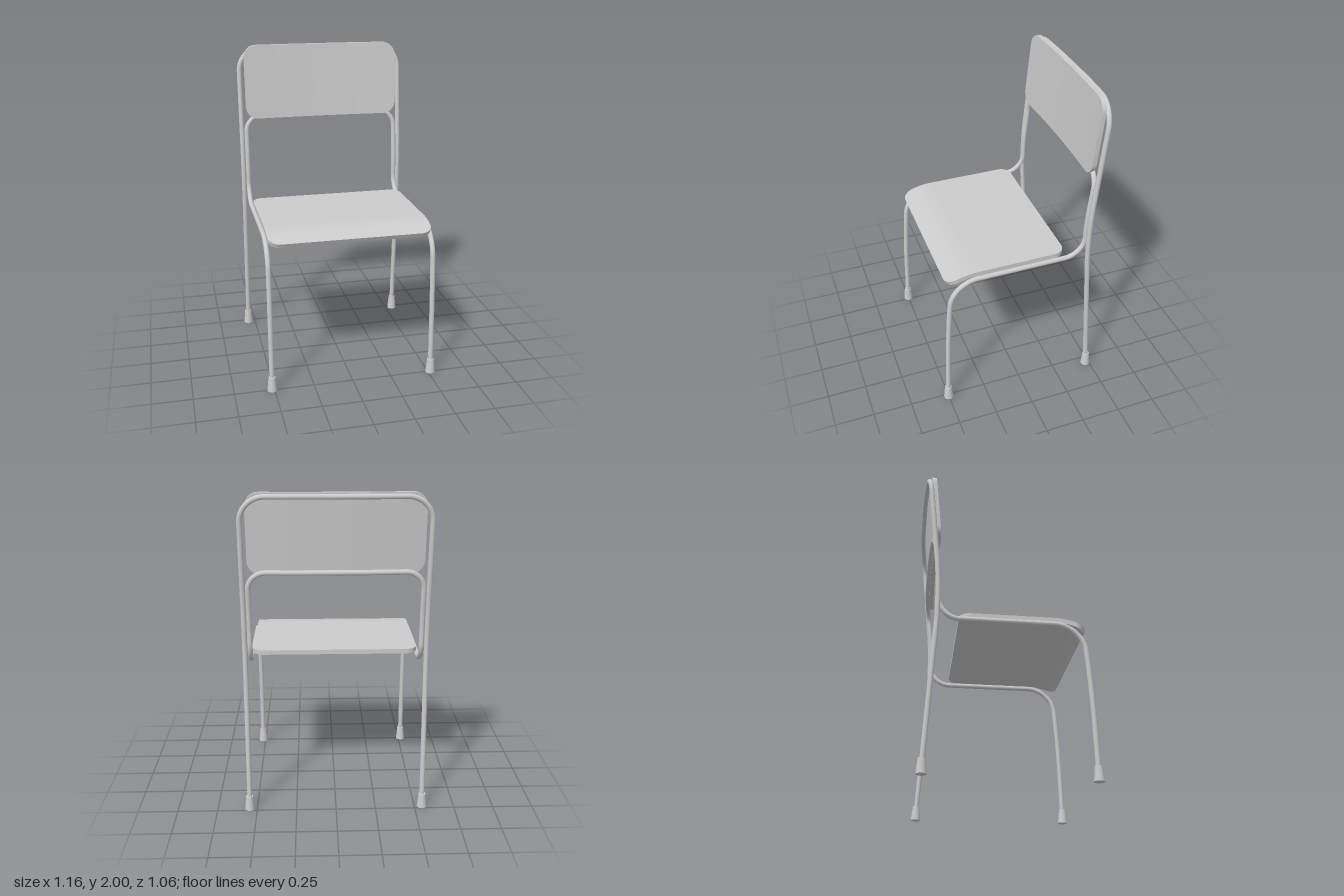
import * as THREE from 'three';
import { toCreasedNormals } from 'three/addons/utils/BufferGeometryUtils.js';

const material = new THREE.MeshStandardMaterial({ color: 0xcccccc, roughness: 0.6 });
const TUBE_RADIUS = 0.0157;

function addMesh(group, name, geometry) {
  const mesh = new THREE.Mesh(geometry, material);
  mesh.name = name;
  group.add(mesh);
  return mesh;
}

// Bent tube: half path of [x, y, z, bendLength], mirrored across x = 0
function bentTube(half) {
  const mirrored = half.map(([x, ...rest]) => [-x, ...rest]).reverse();
  const all = [...half, ...mirrored];
  const points = all.map(([x, y, z]) => new THREE.Vector3(x, y, z));
  const path = new THREE.CurvePath();
  let last = points[0];
  for (let i = 1; i < points.length - 1; i++) {
    const p = points[i], r = all[i][3];
    const toward = (q, d) => p.clone().addScaledVector(q.clone().sub(p).normalize(), d);
    const a = toward(points[i - 1], r), b = toward(points[i + 1], r);
    path.add(new THREE.LineCurve3(last, a));
    path.add(new THREE.CubicBezierCurve3(a, toward(points[i - 1], r * 0.45), toward(points[i + 1], r * 0.45), b));
    last = b;
  }
  path.add(new THREE.LineCurve3(last, points[points.length - 1]));
  path.arcLengthDivisions = 800;
  return new THREE.TubeGeometry(path, 400, TUBE_RADIUS, 14, false);
}

// Rounded rectangular board, built from cross-sections along s;
// place(s, w, t) bends it (s, w, t must be right-handed, t = 0 is the top face)
function bentBoard(s0, s1, w0, w1, radius, thickness, place) {
  const stations = [];
  const corner = 10, middle = 28;
  for (let i = 0; i <= corner; i++) {
    const a = (i / corner) * Math.PI / 2;
    stations.push([s0 + radius * (1 - Math.cos(a)), radius * (1 - Math.sin(a))]);
  }
  for (let i = 1; i < middle; i++) {
    stations.push([THREE.MathUtils.lerp(s0 + radius, s1 - radius, i / middle), 0]);
  }
  for (let i = corner; i >= 0; i--) {
    const a = (i / corner) * Math.PI / 2;
    stations.push([s1 - radius * (1 - Math.cos(a)), radius * (1 - Math.sin(a))]);
  }
  const positions = [], index = [];
  for (const [s, inset] of stations) {
    const lo = w0 + inset, hi = w1 - inset;
    for (const [w, t] of [[lo, -thickness], [hi, -thickness], [hi, 0], [lo, 0]]) {
      positions.push(...place(s, w, t));
    }
  }
  for (let i = 0; i < stations.length - 1; i++) {
    for (let k = 0; k < 4; k++) {
      const a = i * 4 + k, b = i * 4 + (k + 1) % 4;
      index.push(a, b, b + 4, a, b + 4, a + 4);
    }
  }
  const e = (stations.length - 1) * 4;
  index.push(0, 2, 1, 0, 3, 2, e, e + 1, e + 2, e, e + 2, e + 3);
  const geometry = new THREE.BufferGeometry();
  geometry.setAttribute('position', new THREE.Float32BufferAttribute(positions, 3));
  geometry.setIndex(index);
  return toCreasedNormals(geometry, Math.PI / 6);
}

export function createModel() {
  const chair = new THREE.Group();
  chair.name = 'chair';

  // Rear legs running up into the top rail
  addMesh(chair, 'rearFrame', bentTube([
    [0.546, 0.03, -0.477],
    [0.546, 1.12, -0.412, 0.22],
    [0.546, 1.979, -0.497, 0.15],
    [0.25, 1.979, -0.516, 0.14],
  ]));

  // Front legs, seat rails and lower back rail
  addMesh(chair, 'frontFrame', bentTube([
    [0.515, 0.03, 0.5],
    [0.515, 0.55, 0.485, 0.2],
    [0.515, 0.955, 0.45, 0.17],
    [0.515, 0.955, -0.412, 0.13],
    [0.515, 1.2, -0.414, 0.1],
    [0.515, 1.535, -0.452, 0.11],
    [0.25, 1.535, -0.467, 0.12],
  ]));

  // Seat board with a downward roll at the front
  const rollStart = 0.28;
  addMesh(chair, 'seat', bentBoard(-0.29, 0.48, -0.51, 0.51, 0.07, 0.029, (z, x, t) => {
    const d = Math.max(0, z - rollStart);
    const angle = Math.atan(2 * 1.25 * d);
    return [x, 1 - 1.25 * d * d + t * Math.cos(angle), z + t * Math.sin(angle)];
  }));

  // Backrest board, reclined and gently curved
  addMesh(chair, 'backrest', bentBoard(-0.515, 0.515, 1.52, 2, 0.08, 0.028, (x, y, t) => {
    const bow = 0.017 * (1 - (x / 0.515) ** 2);
    return [x, y, -0.41 - (y - 1.52) * 0.098 - bow + t];
  }));

  // Tapered feet
  const footGeometry = new THREE.CylinderGeometry(0.022, 0.031, 0.09, 20);
  for (const side of [1, -1]) {
    const label = side > 0 ? 'left' : 'right';
    addMesh(chair, label + 'FrontFoot', footGeometry).position.set(side * 0.515, 0.045, 0.5);
    addMesh(chair, label + 'RearFoot', footGeometry).position.set(side * 0.547, 0.045, -0.476);
  }
  return chair;
}
